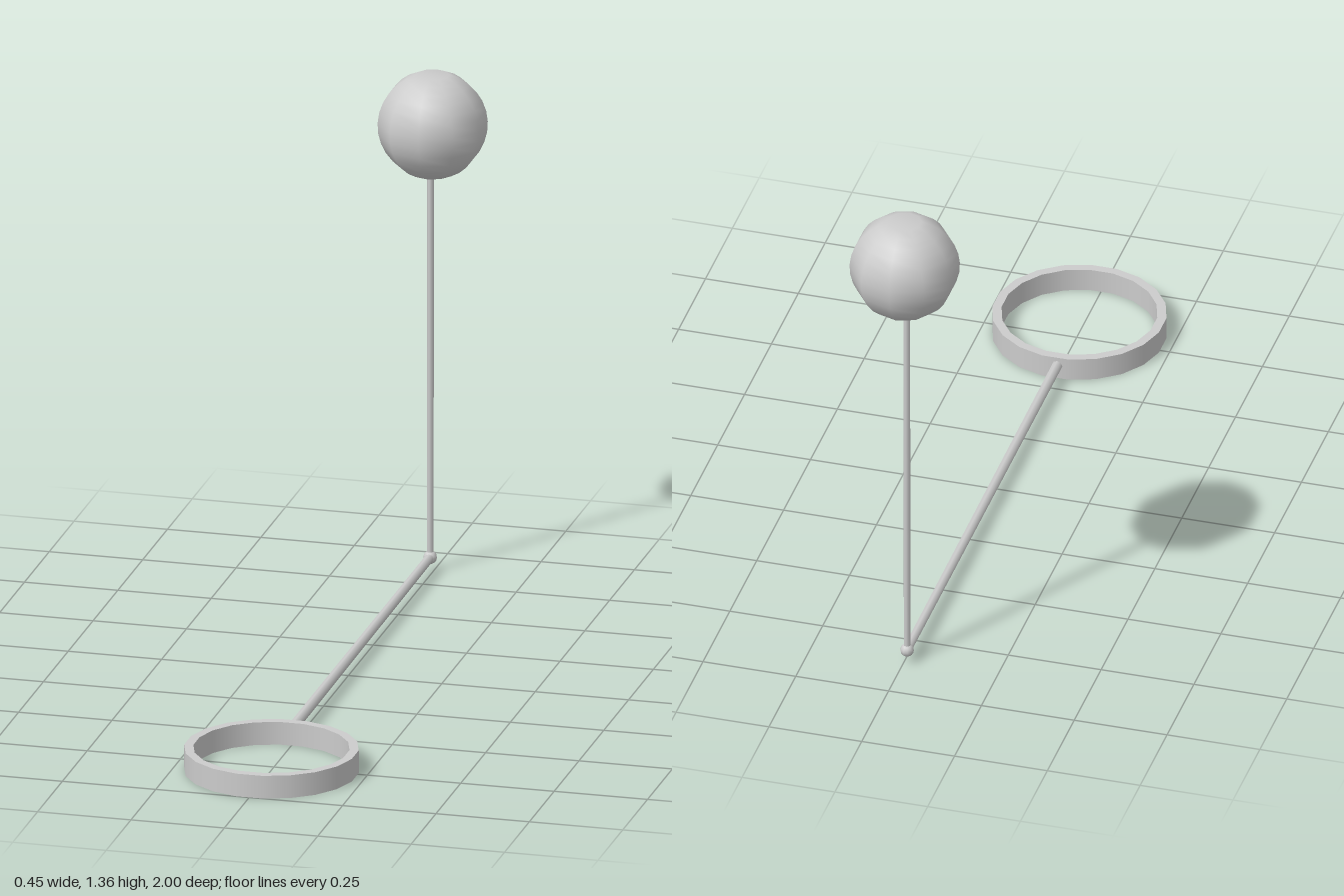
import * as THREE from 'three';

const material = new THREE.MeshStandardMaterial({ color: 0xcccccc });

function part(name, geometry) {
  const mesh = new THREE.Mesh(geometry, material);
  mesh.name = name;
  return mesh;
}

// Slim round bar between two points
function bar(name, from, to, rFrom, rTo, sides) {
  const dir = to.clone().sub(from);
  const mesh = part(name, new THREE.CylinderGeometry(rTo, rFrom, dir.length(), sides));
  mesh.position.copy(from).addScaledVector(dir, 0.5);
  mesh.quaternion.setFromUnitVectors(new THREE.Vector3(0, 1, 0), dir.normalize());
  return mesh;
}

export function createModel() {
  const model = new THREE.Group();
  model.name = 'ballOnStand';

  // Flat base ring; doubled profile points keep its edges sharp
  const [outer, inner, height] = [0.227, 0.203, 0.062];
  const corners = [[outer, 0], [outer, height], [inner, height], [inner, 0]];
  const profile = [];
  corners.forEach((c, i) => {
    profile.push(new THREE.Vector2(...c), new THREE.Vector2(...corners[(i + 1) % 4]));
  });
  const ring = part('baseRing', new THREE.LatheGeometry(profile, 20, Math.PI / 20));
  ring.position.set(0, 0, 0.775);
  model.add(ring);

  // Floor arm, elbow joint and upright post
  const elbow = new THREE.Vector3(-0.008, 0.038, -0.855);
  model.add(bar('floorArm', new THREE.Vector3(-0.005, 0.038, 0.56), elbow, 0.014, 0.012, 8));
  const joint = part('elbowJoint', new THREE.SphereGeometry(0.018, 10, 8));
  joint.position.copy(elbow);
  model.add(joint);
  model.add(bar('post', elbow, new THREE.Vector3(-0.007, 1.1, -0.855), 0.009, 0.009, 8));

  // Ten-sided ball with a small flat on top
  const radius = 0.143, rings = 14, end = Math.PI * 0.9;
  const arc = [];
  for (let i = 0; i <= rings; i++) {
    const a = (i / rings) * end;
    arc.push(new THREE.Vector2(radius * Math.sin(a), -radius * Math.cos(a)));
  }
  arc.push(new THREE.Vector2(0, arc[rings].y));
  const ball = part('ball', new THREE.LatheGeometry(arc, 10));
  ball.position.set(-0.002, 1.222, -0.857);
  model.add(ball);

  return model;
}
